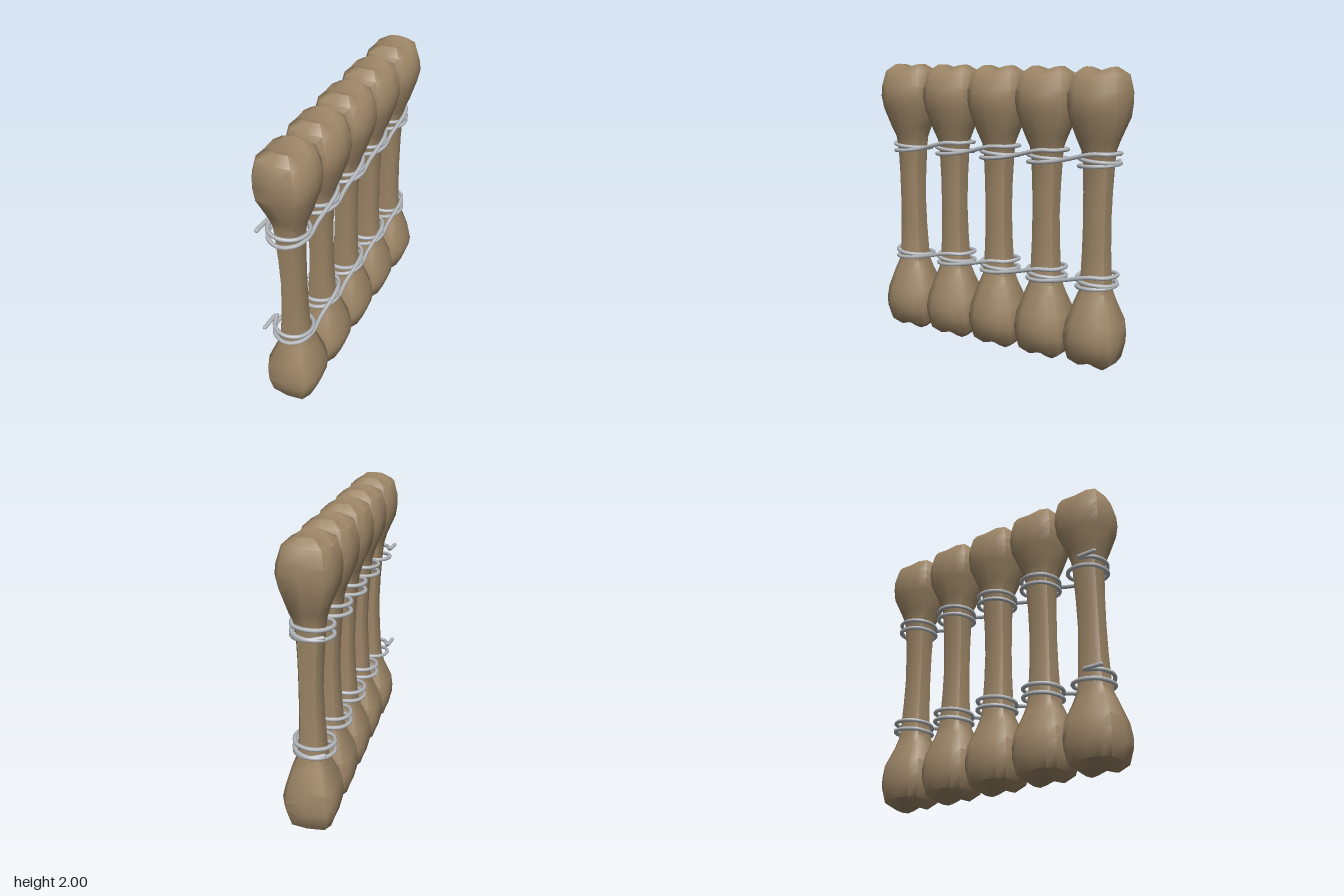
import * as THREE from 'three';
import { toCreasedNormals } from 'three/addons/utils/BufferGeometryUtils.js';

const BONE_Z = [0.763, 0.381, 0, -0.381, -0.763];

// Unit outline of a bone (x, z): rounded box, slightly pointed on the +x side
const HALF = [[1, 0], [0.95, 0.55], [0.73, 0.92], [0, 1], [-0.8, 0.92], [-1, 0.58], [-1, 0]];
const OUTLINE = [...HALF, ...HALF.slice(1, -1).reverse().map(([x, z]) => [x, -z])];

// Half profile from mid shaft to tip: height above middle, x min, x max, z half width, notch depth
const PROFILE = [
  [0, -0.07, 0.066, 0.084, 0],
  [0.2, -0.077, 0.068, 0.087, 0],
  [0.4, -0.09, 0.075, 0.094, 0],
  [0.47, -0.098, 0.09, 0.1, 0],
  [0.54, -0.115, 0.118, 0.125, 0],
  [0.68, -0.172, 0.16, 0.175, 0],
  [0.77, -0.183, 0.18, 0.184, 0],
  [0.84, -0.18, 0.171, 0.184, 0],
  [0.95, -0.155, 0.137, 0.162, 0.012],
  [1, -0.08, 0.075, 0.1, 0.036],
];

function boneGeometry() {
  const rows = [
    ...PROFILE.slice(1).reverse().map((r) => [...r, -1]),
    ...PROFILE.map((r) => [...r, 1]),
  ];
  const n = OUTLINE.length, pos = [], idx = [];
  for (const [h, x0, x1, hz, notch, side] of rows) {
    for (const [u, w] of OUTLINE) {
      const y = 1 + side * (h - notch * (1 - Math.abs(w)));
      pos.push((x0 + x1) / 2 + (u * (x1 - x0)) / 2, y, w * hz);
    }
  }
  const last = (rows.length - 1) * n, low = rows.length * n, high = low + 1;
  pos.push(0, 0.036, 0, 0, 1.964, 0);
  for (let i = 0; i < n; i++) {
    const j = (i + 1) % n;
    for (let r = 0; r < last; r += n) {
      idx.push(r + i, r + n + i, r + j, r + j, r + n + i, r + n + j);
    }
    idx.push(low, i, j, high, last + j, last + i); // grooved end caps
  }
  const g = new THREE.BufferGeometry();
  g.setAttribute('position', new THREE.Float32BufferAttribute(pos, 3));
  g.setIndex(idx);
  return toCreasedNormals(g, 0.95);
}

// One wire winding twice round each bone, then crossing to the next on the +x side
function wirePath() {
  const pts = [new THREE.Vector3(-0.165, 1.435, 0.9)];
  BONE_Z.forEach((z, k) => {
    const first = k === 0, end = k === BONE_Z.length - 1;
    for (let a = first ? 180 : 0; a <= (end ? 855 : 720); a += 45) {
      const t = (a * Math.PI) / 180;
      let y = 1.455;
      if (a > 90) y = 1.455 - (0.095 * (a - 90)) / 540;
      if (a > 630) y = 1.36 + (0.015 * (a - 630)) / 90;
      pts.push(new THREE.Vector3(-0.022 + 0.13 * Math.cos(t), y, z - 0.137 * Math.sin(t)));
    }
    if (!end) pts.push(new THREE.Vector3(0.1, 1.397, z - 0.15));
  });
  return new THREE.CatmullRomCurve3(pts);
}

export function createModel() {
  const model = new THREE.Group();
  const bone = new THREE.MeshStandardMaterial({ color: 0x9c8566 });
  bone.name = 'bone';
  const metal = new THREE.MeshStandardMaterial({ color: 0xb4b8bc });
  metal.name = 'wire metal';

  // Row of bones
  const boneGeo = boneGeometry();
  BONE_Z.forEach((z, i) => {
    const m = new THREE.Mesh(boneGeo, bone);
    m.name = `bone${i + 1}`;
    m.position.z = z;
    model.add(m);
  });

  // Upper and lower binding wires with rounded ends
  const path = wirePath();
  const tubeGeo = new THREE.TubeGeometry(path, 420, 0.014, 8, false);
  const tipGeo = new THREE.SphereGeometry(0.014, 8, 6);
  for (const [name, y] of [['upperWire', 0], ['lowerWire', -0.81]]) {
    const wire = new THREE.Group();
    wire.name = name;
    wire.position.y = y;
    const strand = new THREE.Mesh(tubeGeo, metal);
    strand.name = 'strand';
    wire.add(strand);
    for (const t of [0, 1]) {
      const tip = new THREE.Mesh(tipGeo, metal);
      tip.name = 'wireEnd';
      tip.position.copy(path.getPoint(t));
      wire.add(tip);
    }
    model.add(wire);
  }
  return model;
}
